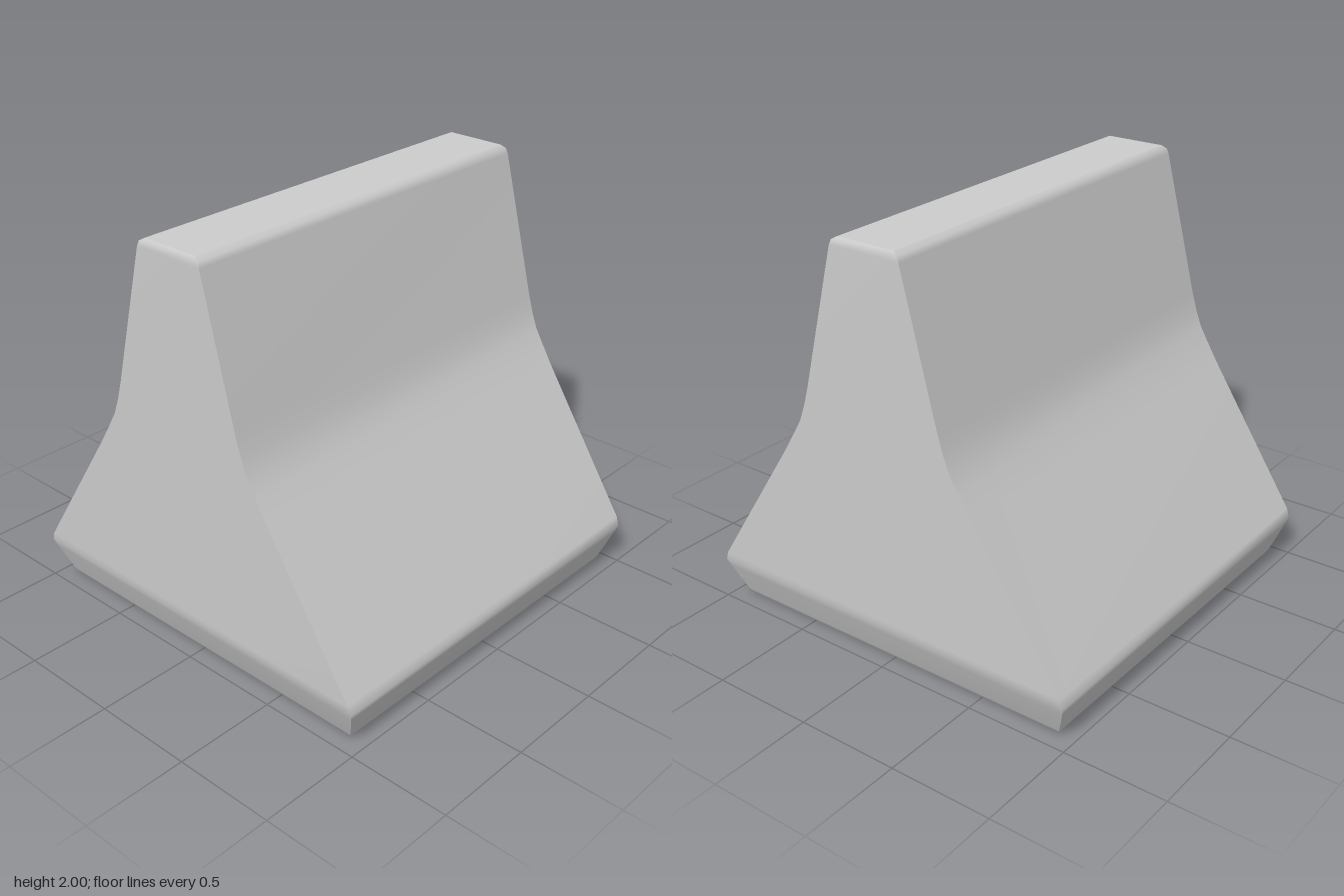
import * as THREE from 'three';

// Rectangular cross-sections from bottom to top: [y, half width, half depth]
const SECTIONS = [
  [0, 0.9, 0.9], [0.008, 0.913, 0.913], [0.03, 0.926, 0.927],
  [0.17, 0.978, 0.982], [0.205, 0.99, 0.995], [0.25, 0.973, 1],
  [0.94, 0.52, 1], [1.03, 0.465, 1], [1.11, 0.418, 1], [1.19, 0.387, 1], [1.28, 0.36, 1],
  [1.96, 0.185, 1], [1.985, 0.175, 0.997], [2, 0.15, 0.985],
];

// Corner signs (x, z), counterclockwise seen from above
const CORNERS = [[-1, 1], [1, 1], [1, -1], [-1, -1]];

const corner = ([y, hx, hz], i) => [CORNERS[i % 4][0] * hx, y, CORNERS[i % 4][1] * hz];

function buildMesh(name, points, index) {
  const geometry = new THREE.BufferGeometry();
  geometry.setAttribute('position', new THREE.Float32BufferAttribute(points.flat(), 3));
  geometry.setIndex(index);
  geometry.computeVertexNormals();
  const mesh = new THREE.Mesh(geometry, new THREE.MeshStandardMaterial({ color: 0xcccccc }));
  mesh.name = name;
  return mesh;
}

// One wall: smooth up its height, sharp at its vertical edges
function wall(name, side) {
  const points = [];
  const index = [];
  SECTIONS.forEach((section, k) => {
    points.push(corner(section, side), corner(section, side + 1));
    if (k > 0) {
      const a = 2 * k - 2;
      index.push(a, a + 1, a + 3, a, a + 3, a + 2);
    }
  });
  return buildMesh(name, points, index);
}

// Flat end face
function cap(name, section, index) {
  return buildMesh(name, CORNERS.map((_, i) => corner(section, i)), index);
}

export function createModel() {
  const model = new THREE.Group();
  model.name = 'flaredWedgeBlock';
  ['frontWall', 'leftWall', 'backWall', 'rightWall'].forEach((name, i) => model.add(wall(name, i)));
  model.add(cap('topFace', SECTIONS[SECTIONS.length - 1], [0, 1, 2, 0, 2, 3]));
  model.add(cap('bottomFace', SECTIONS[0], [0, 2, 1, 0, 3, 2]));
  return model;
}
